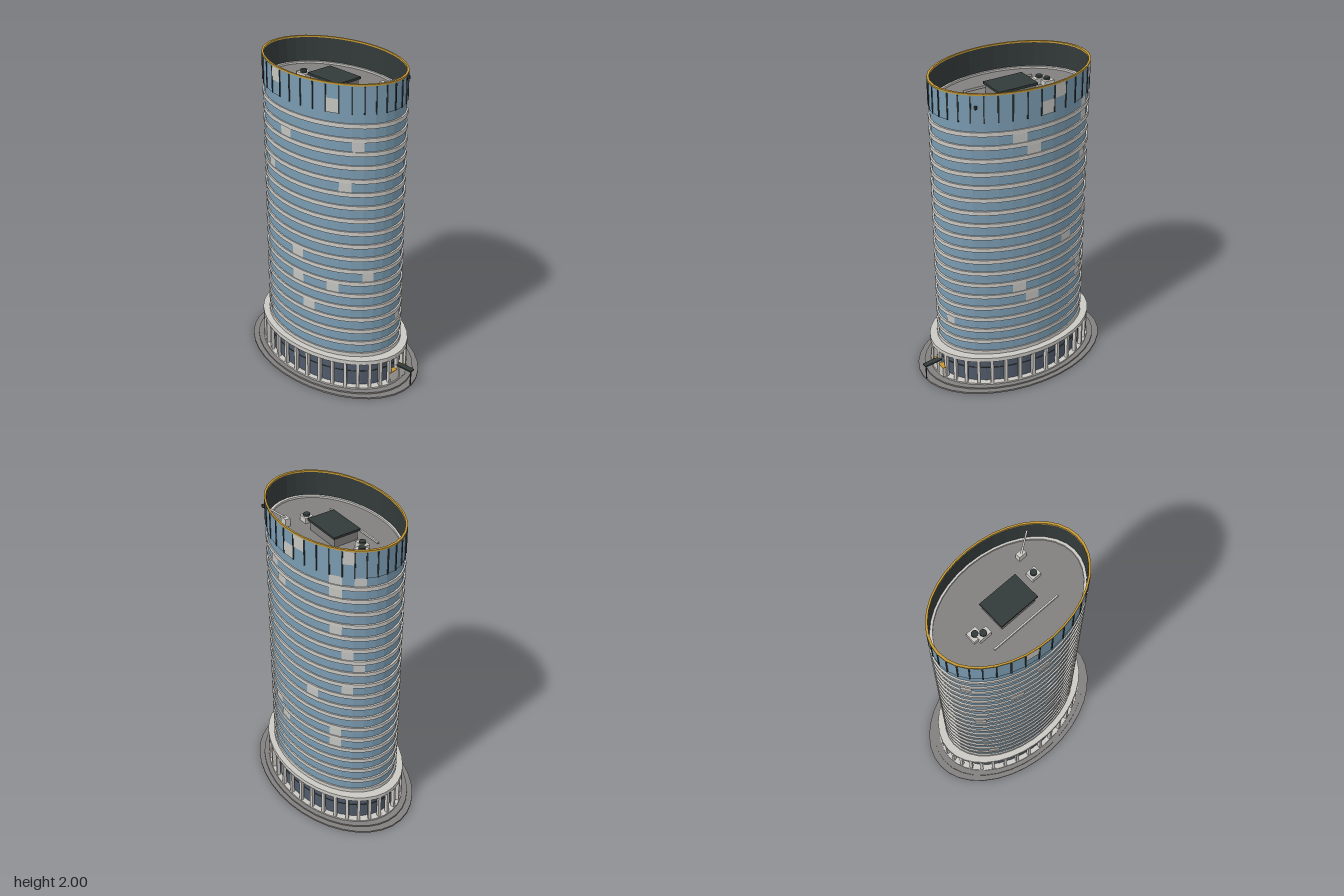
import * as THREE from 'three';

const SIDES = 36, STEP = (Math.PI * 2) / SIDES;
const RATIO = 0.673;            // depth of every ellipse relative to its width
const FLOOR0 = 0.245, FLOOR = 0.0839, FLOORS = 19, BAND = 0.013;
const CROWN = 1.825;

const mat = (name, color, side = THREE.FrontSide) => {
  const m = new THREE.MeshStandardMaterial({ color, side });
  m.name = name;
  return m;
};

export function createModel() {
  const M = {
    glass: mat('blue glass', 0x7a9bb1),
    pale: mat('pale concrete', 0xcbc9c4),
    blind: mat('blind panel', 0xc3c3c0, THREE.DoubleSide),
    grey: mat('grey paving', 0x82807e),
    dark: mat('dark metal', 0x333a3a, THREE.DoubleSide),
    lobby: mat('lobby glass', 0x505a6a),
    gold: mat('gold trim', 0xc79a35),
  };
  const root = new THREE.Group();
  root.name = 'ovalTower';
  const tower = new THREE.Group();
  tower.name = 'tower';
  tower.position.x = -0.01;
  root.add(tower);

  const add = (parent, name, geo, material, x = 0, y = 0, z = 0) => {
    const mesh = new THREE.Mesh(geo, material);
    mesh.name = name;
    mesh.position.set(x, y, z);
    parent.add(mesh);
    return mesh;
  };
  const flat = (geo) => {
    const g = geo.toNonIndexed();
    g.computeVertexNormals();
    return g;
  };
  // Faceted elliptical ring with a rectangular section (rIn = 0 gives a solid slab)
  const ring = (name, rIn, rOut, y0, y1, material) => {
    const pts = [[rIn, y0], [rOut, y0], [rOut, y1], [rIn, y1]];
    if (rIn > 0) pts.push([rIn, y0]);
    const geo = new THREE.LatheGeometry(pts.map((p) => new THREE.Vector2(...p)), SIDES);
    geo.scale(1, 1, RATIO);
    return add(tower, name, flat(geo), material);
  };
  // Thin plate lying on facet k of the ellipse
  const facet = (name, k, r, y0, y1, material) => {
    const geo = new THREE.CylinderGeometry(r, r, y1 - y0, 1, 1, true, k * STEP, STEP);
    geo.scale(1, 1, RATIO);
    return add(tower, name, flat(geo), material, 0, (y0 + y1) / 2, 0);
  };
  // Upright box on the ellipse, turned to face outward
  const upright = (name, a, r, w, d, y0, y1, material) => {
    const m = add(tower, name, new THREE.BoxGeometry(w, y1 - y0, d), material,
      r * Math.sin(a), (y0 + y1) / 2, r * RATIO * Math.cos(a));
    m.rotation.y = Math.atan2(Math.sin(a) * RATIO, Math.cos(a));
  };
  const box = (name, w, h, d, x, y, z, material) =>
    add(root, name, new THREE.BoxGeometry(w, h, d), material, x, y, z);

  // Stepped plinth
  ring('lowerStep', 0, 0.645, 0, 0.011, M.grey);
  ring('middleStep', 0, 0.602, 0.011, 0.021, M.grey);
  ring('upperStep', 0, 0.562, 0.021, 0.031, M.pale);

  // Lobby with colonnade
  ring('lobbyGlass', 0, 0.515, 0.03, 0.2, M.lobby);
  ring('lobbyRail', 0.51, 0.519, 0.127, 0.133, M.dark);
  for (let k = 0; k < SIDES; k++)
    upright('column', (k + 0.5) * STEP, 0.543, 0.019, 0.022, 0.03, 0.202, M.pale);
  ring('lobbyRoof', 0, 0.558, 0.2, 0.228, M.pale);

  // Glass shaft and floor bands
  ring('glassShaft', 0, 0.496, 0.22, CROWN, M.glass);
  for (let i = 0; i < FLOORS; i++) {
    const y = FLOOR0 + i * FLOOR;
    ring('floorBand', 0.49, 0.507, y - BAND, y + BAND, M.pale);
  }

  // Scattered window panels with drawn blinds: [facet, floor]
  const blinds = [
    [-1, 16], [5, 16], [-7, 16], [-3, 13], [4, 13], [-6, 9], [0, 7], [6, 6], [0, 5], [3, 5],
    [1, 3], [-5, 1], [10, 2], [24, 18], [22, 18], [22, 17], [22, 14], [16, 17], [17, 16],
    [23, 12], [24, 11], [23, 9], [20, 8], [22, 5], [22, 4], [17, 4], [16, 5],
  ];
  for (const [k, i] of blinds) {
    const y = FLOOR0 + i * FLOOR;
    const top = i === FLOORS - 1 ? CROWN : y + FLOOR - BAND;
    facet('blindPanel', k, 0.5, y + BAND, top, M.blind);
  }

  // Hollow crown with dark fins and gold rim
  ring('crownGlass', 0.497, 0.502, CROWN, 1.99, M.glass);
  ring('crownLining', 0.493, 0.4965, CROWN, 1.99, M.dark);
  ring('crownRim', 0.491, 0.506, 1.99, 2, M.gold);
  for (let k = 0; k < SIDES; k++)
    upright('crownFin', k * STEP, 0.501, 0.008, 0.009, CROWN, 1.985, M.dark);
  for (const [k, upper] of [[-2, 1], [3, 0], [18, 0], [19, 1], [23, 1]])
    facet('crownPanel', k, 0.5055, upper ? 1.908 : CROWN, upper ? 1.988 : 1.908, M.blind);

  // Roof deck and kerb
  ring('roofDeck', 0, 0.492, 1.815, 1.828, M.grey);
  ring('roofKerb', 0.474, 0.492, 1.828, 1.84, M.pale);

  // Plant room
  box('plantRoom', 0.24, 0.06, 0.16, -0.01, 1.857, -0.003, M.grey);
  box('plantRoomRoof', 0.262, 0.014, 0.18, -0.01, 1.893, -0.003, M.dark);

  // Roof fans: x, z, width, depth, height
  for (const [x, z, w, d, h] of [
    [0.21, -0.042, 0.06, 0.055, 0.035], [-0.265, 0.008, 0.066, 0.066, 0.03],
    [-0.23, 0.038, 0.078, 0.045, 0.04],
  ]) {
    box('fanHousing', w, h, d, x, 1.828 + h / 2, z, M.pale);
    add(root, 'fan', new THREE.CylinderGeometry(0.02, 0.02, 0.012, 12), M.dark, x, 1.834 + h, z);
  }
  box('roofPipe', 0.465, 0.012, 0.01, -0.01, 1.84, 0.138, M.pale);

  // Maintenance crane reaching over the crown
  box('craneBase', 0.052, 0.05, 0.032, 0.236, 1.853, -0.17, M.pale);
  const from = new THREE.Vector3(0.236, 1.875, -0.168), to = new THREE.Vector3(0.355, 1.925, -0.245);
  add(root, 'craneArm', new THREE.TubeGeometry(new THREE.LineCurve3(from, to), 1, 0.006, 6), M.pale);
  box('craneTip', 0.012, 0.02, 0.012, 0.355, 1.922, -0.245, M.dark);

  // Entrance on the model's left side: doors, gold lintels, canopy and post
  for (const z of [0.005, -0.075]) {
    box('entrancePier', 0.03, 0.07, 0.052, 0.53, 0.066, z, M.pale);
    box('entranceTrim', 0.034, 0.006, 0.056, 0.53, 0.104, z, M.gold);
  }
  const canopy = box('canopy', 0.12, 0.009, 0.034, 0.59, 0.135, -0.045, M.dark);
  canopy.rotation.y = 0.1;
  box('canopyPost', 0.006, 0.11, 0.006, 0.638, 0.083, -0.05, M.dark);

  return root;
}
